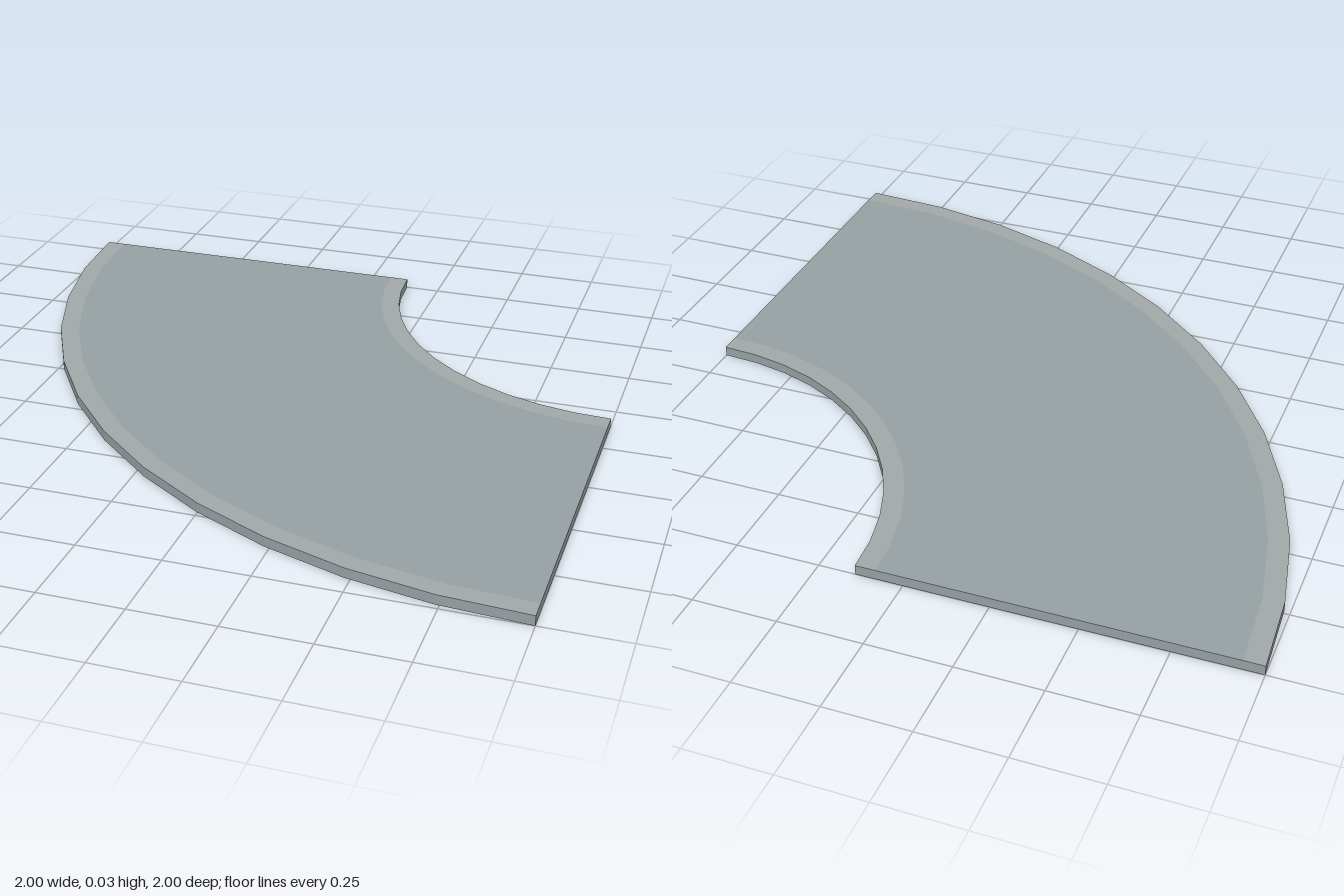
import * as THREE from 'three';

const INNER = 0.86, OUTER = 2, BORDER = 0.06, THICK = 0.03, SEGMENTS = 12;

export function createModel() {
  const group = new THREE.Group();
  group.name = 'curvedRoadTile';
  // the bend turns about the back left corner
  group.position.set(1, 0, -1);

  const road = new THREE.MeshStandardMaterial({ color: 0x959fa2, flatShading: true });
  const edge = new THREE.MeshStandardMaterial({ color: 0xa1a7a7, flatShading: true });

  const add = (name, geometry, material) => {
    const mesh = new THREE.Mesh(geometry, material);
    mesh.name = name;
    group.add(mesh);
    return mesh;
  };

  // slab underside and curved side walls
  const profile = [[INNER, THICK], [INNER, 0], [OUTER, 0], [OUTER, THICK]]
    .map(([r, y]) => new THREE.Vector2(r, y));
  add('slab', new THREE.LatheGeometry(profile, SEGMENTS, Math.PI * 1.5, Math.PI / 2), road);

  // top surface: road between two narrow borders
  const strip = (name, r0, r1, material) => {
    const ring = new THREE.RingGeometry(r0, r1, SEGMENTS, 1, Math.PI, Math.PI / 2);
    add(name, ring.rotateX(-Math.PI / 2).translate(0, THICK, 0), material);
  };
  strip('innerBorder', INNER, INNER + BORDER, edge);
  strip('roadSurface', INNER + BORDER, OUTER - BORDER, road);
  strip('outerBorder', OUTER - BORDER, OUTER, edge);

  // straight ends
  const mid = (INNER + OUTER) / 2;
  const end = (name, turn, x, z) => {
    const plane = new THREE.PlaneGeometry(OUTER - INNER, THICK);
    add(name, plane.rotateY(turn).translate(x, THICK / 2, z), road);
  };
  end('leftEnd', Math.PI / 2, 0, mid);
  end('backEnd', Math.PI, -mid, 0);

  return group;
}
